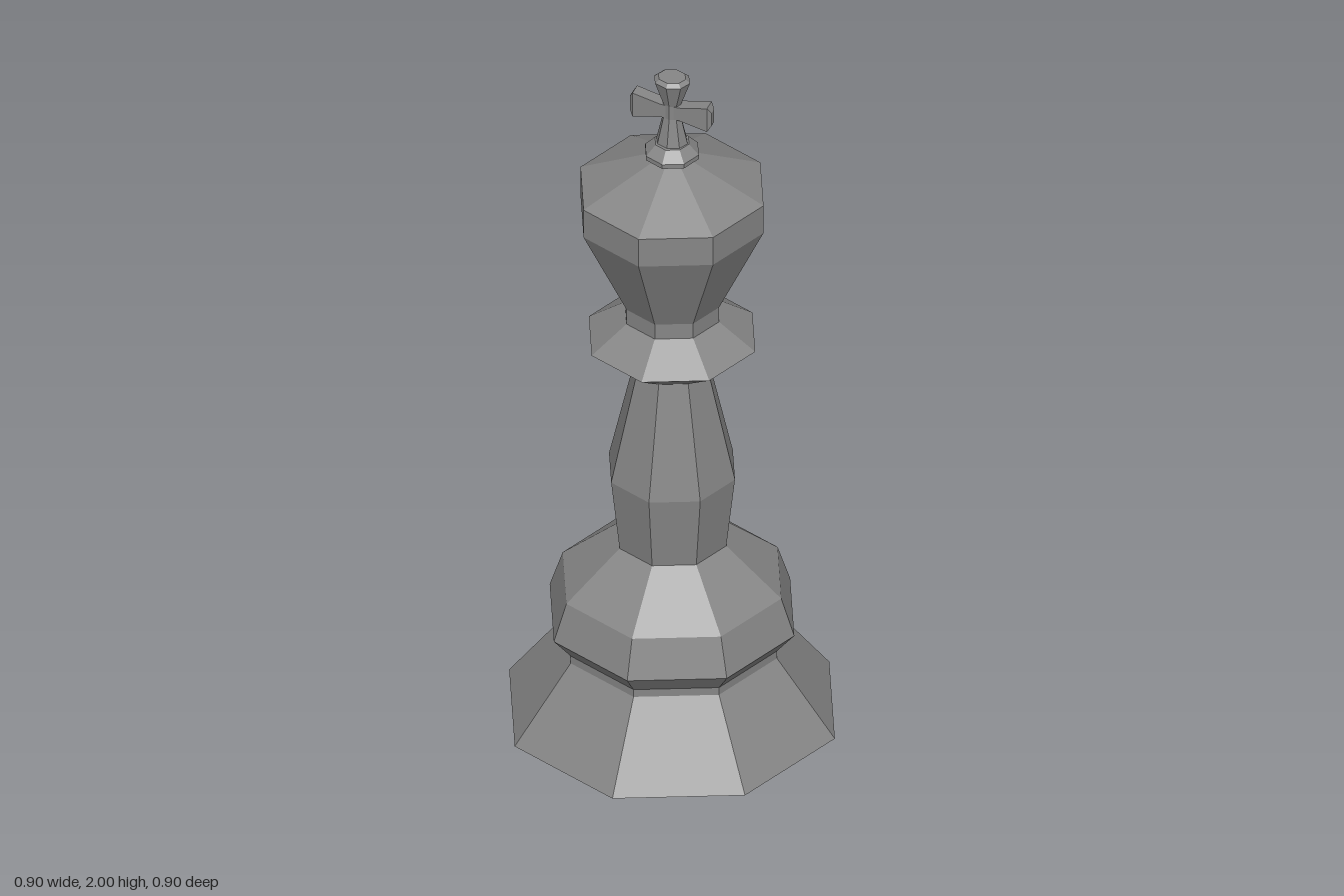
import * as THREE from 'three';

const material = new THREE.MeshStandardMaterial({ color: 0x868686, flatShading: true });

// Eight-sided turned part from [radius, height] pairs, bottom to top
function turned(name, profile, depth = 1) {
  const points = profile.map(([r, y]) => new THREE.Vector2(r, y));
  const mesh = new THREE.Mesh(new THREE.LatheGeometry(points, 8).scale(1, 1, depth), material);
  mesh.name = name;
  return mesh;
}

// Flared crossbar: a box whose slices follow [x, half height, half depth]
function crossbar() {
  const half = [[0.025, 0.02, 0.018], [0.103, 0.037, 0.018], [0.113, 0.02, 0.01]];
  const slices = [...half.map(([x, h, d]) => [-x, h, d]).reverse(), ...half];
  const geometry = new THREE.BoxGeometry(1, 1, 1, slices.length - 1, 1, 1);
  const p = geometry.attributes.position;
  for (let i = 0; i < p.count; i++) {
    const [x, h, d] = slices[Math.round((p.getX(i) + 0.5) * (slices.length - 1))];
    p.setXYZ(i, x, Math.sign(p.getY(i)) * h, Math.sign(p.getZ(i)) * d);
  }
  geometry.computeVertexNormals();
  const mesh = new THREE.Mesh(geometry, material);
  mesh.name = 'crossArms';
  mesh.position.y = 1.897;
  return mesh;
}

export function createModel() {
  const group = new THREE.Group();
  group.name = 'chessKing';

  group.add(
    // Flared foot with a groove, then the rounded step above it
    turned('foot', [[0, 0], [0.45, 0], [0.29, 0.217], [0.29, 0.24]]),
    turned('pedestal', [[0.29, 0.24], [0.338, 0.3], [0.302, 0.41], [0.15, 0.541]]),
    // Tapering shaft and sharp-edged neck ring
    turned('shaft', [[0.15, 0.541], [0.174, 0.758], [0.1, 1.085]]),
    turned('neckRing', [[0.1, 1.085], [0.23, 1.179], [0.13, 1.25]]),
    // Head widening to a shallow cone
    turned('head', [[0.13, 1.25], [0.13, 1.296], [0.253, 1.563], [0.253, 1.65], [0.052, 1.745]]),
    turned('collar', [[0.052, 1.745], [0.074, 1.755], [0.074, 1.768], [0.047, 1.796], [0, 1.796]]),
    // Cross on top
    turned('crossPost', [[0.043, 1.796], [0.025, 1.876], [0.025, 1.918], [0.05, 1.99], [0.038, 2], [0, 2]], 0.88),
    crossbar()
  );
  return group;
}
